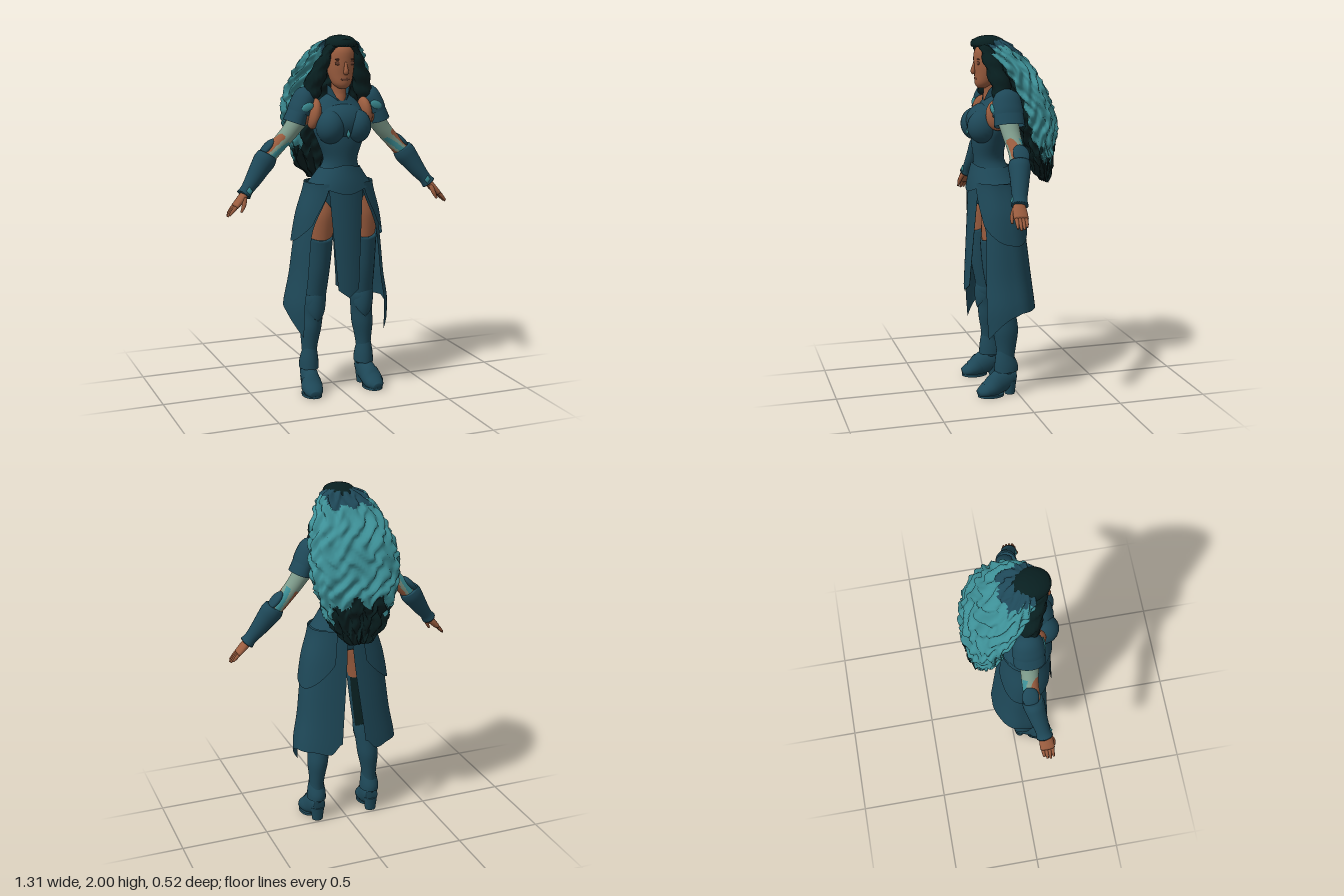
import * as THREE from 'three';
import { mergeVertices } from 'three/addons/utils/BufferGeometryUtils.js';

const V = (x, y, z) => new THREE.Vector3(x, y, z);
const { sin, cos, PI, max, min, abs, pow, sign } = Math;
const lerp = THREE.MathUtils.lerp, smooth = THREE.MathUtils.smoothstep;

// grid surface from fn(u, v); pick(u, v, point) chooses a material slot per cell
function surf(fn, nu, nv, pick) {
  const pos = [], slots = [[], [], []], w = nu + 1;
  for (let j = 0; j <= nv; j++) for (let i = 0; i <= nu; i++) pos.push(...fn(i / nu, j / nv).toArray());
  for (let j = 0; j < nv; j++) for (let i = 0; i < nu; i++) {
    const a = j * w + i, k = pick ? pick((i + .5) / nu, (j + .5) / nv, V().fromArray(pos, a * 3)) : 0;
    slots[k].push(a, a + 1, a + w + 1, a, a + w + 1, a + w);
  }
  let g = new THREE.BufferGeometry();
  g.setAttribute('position', new THREE.Float32BufferAttribute(pos, 3));
  g.setIndex(slots.flat());
  if (pick) {
    let start = 0;
    slots.forEach((s, k) => { if (s.length) g.addGroup(start, s.length, k); start += s.length; });
  }
  g = mergeVertices(g, 1e-5);
  g.computeVertexNormals();
  return g;
}

// smooth interpolation through rows of numbers
function sample(rows, t) {
  const n = rows.length - 1, i = min(n - 1, Math.floor(t * n)), f = t * n - i;
  const r = k => rows[min(n, max(0, k))];
  return rows[0].map((_, c) => {
    const [a, b, d, e] = [r(i - 1)[c], r(i)[c], r(i + 1)[c], r(i + 2)[c]];
    return b + .5 * f * (d - a + f * (2 * a - 5 * b + 4 * d - e + f * (3 * (b - d) + e - a)));
  });
}

// elliptical sweep through rows [x, y, z, sideRadius, depthRadius]
function sweep(rows, nu, nv, { flat, open, up = V(0, 0, 1), mod, pick } = {}) {
  const fn = (u, v) => {
    const j = v * (nv + 2), t = min(1, max(0, (j - 1) / nv)), a = u * 2 * PI;
    const r = sample(rows, t), p0 = sample(rows, max(0, t - .02)), p1 = sample(rows, min(1, t + .02));
    const tan = flat ? V(0, sign(p1[1] - p0[1]), 0) : V(p1[0] - p0[0], p1[1] - p0[1], p1[2] - p0[2]).normalize();
    const b = up.clone().addScaledVector(tan, -up.dot(tan)).normalize(), n = tan.clone().cross(b);
    const k = !open && (j < .5 || j > nv + 1.5) ? 0 : 1;
    const p = V(r[0], r[1], r[2]).addScaledVector(n, k * max(0, r[3]) * sin(a)).addScaledVector(b, k * max(0, r[4]) * cos(a));
    if (mod) mod(p, a, t);
    return p;
  };
  return surf(fn, nu, nv + 2, pick);
}
const loft = (rows, nu, nv, o) => sweep(rows, nu, nv, { flat: true, ...o }); // horizontal rings
const ball = (x, y, z, a, b, c, rz = 0) => new THREE.SphereGeometry(1, 20, 14).scale(a, b, c).rotateZ(rz).translate(x, y, z);
const gem = (x, y, z, a, b, c) => new THREE.SphereGeometry(1, 4, 2).scale(a, b, c).translate(x, y, z);

export function createModel() {
  const root = new THREE.Group();
  const mat = (name, color, side = THREE.FrontSide) => Object.assign(new THREE.MeshStandardMaterial({ color, side }), { name });
  const armour = mat('armour blue', 0x1e4858, THREE.DoubleSide), teal = mat('hair teal', 0x3d8f96);
  const dark = mat('dark hair', 0x081f20, THREE.DoubleSide), skin = mat('skin', 0x9b5d3f);
  const sleeve = mat('sleeve grey green', 0x7d9a8a), shade = mat('facial feature brown', 0x6b4030);
  const add = (name, geo, m) => { const o = new THREE.Mesh(geo, m); o.name = name; root.add(o); };
  const pair = (name, geo, m) => {
    add(name + 'Left', geo, m);
    const g = geo.clone().scale(-1, 1, 1), ix = g.index;
    for (let i = 0; i < ix.count; i += 3) { const t = ix.getX(i); ix.setX(i, ix.getX(i + 1)); ix.setX(i + 1, t); }
    add(name + 'Right', g, m);
  };

  // torso, bust and neck
  add('torso', loft([[0, 1.07, .085, .165, .1], [0, 1.18, .09, .165, .115], [0, 1.26, .1, .12, .1], [0, 1.33, .115, .096, .085],
    [0, 1.42, .115, .125, .095], [0, 1.5, .1, .152, .105], [0, 1.58, .085, .145, .105], [0, 1.64, .07, .11, .08], [0, 1.68, .07, .06, .055]], 36, 36), armour);
  add('chestPlate', ball(0, 1.53, .13, .14, .105, .108), armour);
  pair('breastplate', ball(.076, 1.51, .165, .08, .092, .088), armour);
  add('chestGem', gem(0, 1.475, .236, .013, .026, .008), teal);
  add('neck', loft([[0, 1.6, .085, .045, .06], [0, 1.66, .088, .042, .058], [0, 1.7, .09, .04, .052], [0, 1.78, .1, .045, .05]], 16, 8), skin);
  add('collar', loft([[0, 1.61, .08, .1, .095], [0, 1.66, .08, .06, .066], [0, 1.73, .085, .062, .064]], 28, 8,
    { open: true, mod: (p, a, t) => { p.y -= .1 * t * pow(max(0, cos(a)), 3); } }), armour);

  // head and face
  add('head', loft([[0, 1.715, .15, .02, .025], [0, 1.74, .135, .05, .055], [0, 1.79, .12, .068, .072], [0, 1.85, .11, .076, .086],
    [0, 1.92, .105, .074, .085], [0, 1.965, .1, .04, .05]], 28, 20), skin);
  add('nose', sweep([[0, 1.86, .19, .007, .006], [0, 1.83, .198, .01, .01], [0, 1.805, .202, .016, .013], [0, 1.795, .194, .01, .008]], 10, 8), skin);
  add('lips', ball(0, 1.767, .187, .024, .008, .006), shade);
  pair('eye', ball(.034, 1.852, .181, .024, .011, .007), shade);
  pair('brow', ball(.036, 1.873, .182, .022, .005, .006), shade);

  // big mane: blue crown, teal back and sides, dark underside and ragged ends
  const mane = [[1.2, -.19, -.225, .07], [1.3, -.13, -.232, .16], [1.4, -.09, -.245, .2], [1.5, -.05, -.25, .235], [1.6, -.02, -.23, .25],
    [1.7, .02, -.19, .24], [1.8, .07, -.14, .21], [1.88, .12, -.075, .17], [1.95, .15, 0, .12], [1.985, .13, .05, .05]];
  add('mane', loft(mane.map(([y, f, b, w]) => [0, y, (f + b) / 2, w, (f - b) / 2]), 96, 64, {
    mod: (p, a, t) => {
      const y = p.y, e = smooth(t, 0, .06) * smooth(1 - t, 0, .12);
      const d = .011 * e * (sin(a * 13 + 4 * sin(y * 23)) + .7 * sin(y * 75 + 3 * sin(a * 8)));
      p.x += d * sin(a); p.z += d * cos(a);
      p.y -= (1 - smooth(t, .05, .4)) * (.06 * abs(sin(a * 7)) - .04);
    },
    pick: (u, v, p) => {
      const a = u * 2 * PI;
      if (p.y > 1.9 + .012 * sin(a * 9) && abs(p.x) < .12) return 1;
      return (cos(a) > .72 && p.y < 1.86) || p.y < 1.42 + .035 * sin(a * 9) - .12 * pow(sin(a), 4) ? 2 : 0;
    },
  }), [teal, armour, dark]);
  // pointed tips hanging from the mane
  for (let i = -5; i <= 5; i++) {
    const x = i * .032, z = -.21 + x * x * 2.5, y = 1.24 + abs(i) * .012 + .03 * (i & 1);
    add('hairTip', sweep([[x, y + .2, z - .005, .024, .02], [x * 1.02, y + .1, z, .026, .022], [x, y - .02, z + .005, .002, .002]], 7, 6), dark);
  }
  add('hairCap', loft([[0, 1.88, .09, .085, .07], [0, 1.92, .105, .092, .095], [0, 1.965, .115, .085, .095], [0, 1.99, .115, .06, .06], [0, 2, .11, .02, .02]], 32, 14,
    { mod: (p, a) => { if (p.y < 1.93) p.y += .055 * pow(max(0, cos(a)), 2); } }), dark);
  const wavy = (p, a, t) => { const d = .009 * sin(t * 26 + a * 3); p.x += d * sin(a); p.z += d * cos(a); };
  pair('sideLock', sweep([[.05, 1.955, .15, .018, .03], [.082, 1.91, .135, .022, .04], [.105, 1.84, .115, .036, .045], [.135, 1.76, .09, .048, .05],
    [.155, 1.68, .075, .045, .05], [.165, 1.6, .08, .01, .015]], 16, 30, { mod: wavy }), dark);

  // shoulders
  const dome = [[.15, 1.695, .06, .02, .03], [.18, 1.675, .062, .058, .072], [.21, 1.62, .065, .062, .084], [.225, 1.585, .065, .06, .086]];
  pair('pauldron', sweep(dome, 24, 14, { open: true }), armour);
  pair('lowerPauldron', sweep([[.21, 1.63, .065, .05, .075], [.232, 1.58, .065, .054, .082], [.25, 1.53, .065, .06, .084]], 24, 8, { open: true }), armour);
  pair('pauldronInset', ball(.2, 1.62, .146, .036, .022, .009, -.4), teal);
  pair('shoulder', ball(.15, 1.58, .105, .036, .085, .065, .15), skin);

  // arms with patterned sleeves
  pair('upperArm', sweep([[.16, 1.59, .07, .05, .06], [.22, 1.55, .065, .052, .055], [.28, 1.475, .06, .045, .048], [.34, 1.41, .055, .042, .044],
    [.42, 1.325, .058, .042, .044]], 56, 64, {
    pick: (u, v) => {
      const s = sin(u * 4 * PI + v * 5);
      if (v < .24 + .05 * s) return 1;
      if (v > .6 && s < -.75) return 2;
      return v > .9 - .32 * smooth(s, -.4, .8) ? 1 : 0;
    },
  }), [sleeve, skin, teal]);
  pair('bracer', sweep([[.4, 1.36, .056, .055, .055], [.42, 1.33, .06, .062, .059], [.45, 1.29, .068, .055, .053], [.49, 1.235, .08, .045, .046],
    [.53, 1.185, .092, .035, .04], [.552, 1.157, .098, .04, .046]], 22, 18), armour);
  pair('elbowPlate', ball(.4, 1.4, .045, .02, .06, .045, .75), armour);
  pair('wristInset', gem(.53, 1.18, .133, .02, .025, .01), teal);

  // hands
  pair('palm', sweep([[.54, 1.17, .098, .022, .028], [.57, 1.135, .103, .021, .038], [.605, 1.098, .106, .016, .04]], 14, 8), skin);
  for (let i = 0; i < 4; i++) {
    const z = .081 + i * .017, l = [.82, 1, 1.05, .9][i];
    pair('finger', sweep([[.598, 1.105, z, .011, .011], [.598 + .026 * l, 1.105 - .027 * l, z, .01, .01], [.598 + .049 * l, 1.105 - .054 * l, z + .002, .006, .006]], 8, 6), skin);
  }
  pair('thumb', sweep([[.553, 1.145, .125, .014, .014], [.565, 1.105, .143, .012, .012], [.582, 1.072, .148, .006, .006]], 8, 6), skin);

  // belt with a pointed front
  add('belt', loft([[0, 1.185, .092, .19, .148], [0, 1.225, .098, .155, .134], [0, 1.285, .107, .113, .105]], 48, 8, {
    open: true, mod: (p, a, t) => { p.y += (.02 * t - .04 * (1 - t)) * pow(max(0, cos(a)), 6); },
  }), armour);

  // long split skirt and hip plates share one flared shape
  const flare = (a, y, out) => {
    const k = (1.2 - y) / .7, c = cos(a);
    const rx = sample([[.178], [.225], [.252], [.272], [.302]], min(1, max(0, k)))[0] + out;
    const rz = lerp(.13, c > 0 ? .235 : .165, min(1, k)) + out;
    return V(rx * sin(a), y, lerp(.085, .035, k) + rz * sign(c) * pow(abs(c), .8));
  };
  const panel = (front, back, hem, out) => surf((u, v) => {
    const y = lerp(hem(u), 1.205, v), a = lerp(lerp(front, .55, smooth(y, .9, 1.2)), back(y), u);
    return flare(a, y, out);
  }, 36, 20);
  pair('skirtPanel', panel(.92, y => PI - lerp(.24, .08, smooth(y, .5, 1.15)),
    u => .5 - .155 * pow(max(0, 1 - u / .4), 1.4) - .015 * smooth(u, .7, .85) + .06 * smooth(u, .88, 1), 0), armour);
  pair('hipPlate', panel(.95, () => 2.75, u => lerp(.98, 1.02, u) - .13 * pow(max(0, sin(PI * u)), .8), .014), armour);

  // front tabard with dark lining
  const cloth = (dz, s) => surf((u, v) => {
    const y = lerp(.57, 1.19, v), x = (u * 2 - 1) * s * min(lerp(.058, .1, v), (y - .57) * 1.35);
    return V(x, y, lerp(.258, .226, v) - x * x * 2.5 + dz);
  }, 10, 40);
  add('tabard', cloth(0, 1), armour);
  add('tabardLining', cloth(-.005, -.97), dark);

  // legs, dark on the inner back of the thigh
  pair('thigh', loft([[.09, 1.16, .07, .085, .08], [.115, 1.05, .083, .1, .1], [.125, .97, .09, .093, .1], [.13, .84, .1, .078, .086]], 24, 12), skin);
  pair('thighArmour', loft([[.131, .93, .1, .089, .099], [.133, .82, .1, .081, .092], [.136, .72, .098, .074, .084], [.14, .6, .09, .066, .07],
    [.144, .5, .08, .06, .06]], 24, 18, {
    mod: (p, a, t) => { p.y -= .04 * (1 - t) * max(0, cos(a)); },
    pick: (u, v, p) => p.x < .125 && p.z < .08 ? 1 : 0,
  }), [armour, dark]);
  pair('greave', loft([[.144, .575, .085, .062, .068], [.144, .53, .085, .066, .073], [.15, .45, .07, .06, .07], [.158, .37, .063, .059, .072],
    [.164, .28, .062, .046, .058], [.167, .21, .064, .04, .05], [.17, .12, .06, .042, .05]], 24, 24), armour);
  pair('kneePlate', surf((u, v) => {
    const a = (u - .5) * 2.4, w = 1 - pow(abs(v * 2 - 1), 2.2);
    return V(.144 + .062 * w * sin(a), lerp(.42, .61, v), .085 + (.06 + .016 * w) * cos(a * w));
  }, 12, 12), armour);
  pair('ankleCuff', loft([[.168, .135, .062, .054, .068], [.168, .18, .06, .052, .066], [.167, .235, .062, .043, .053]], 22, 6,
    { open: true, mod: (p, a, t) => { p.y += .03 * t * cos(a); } }), armour);

  // heeled boots
  const ground = p => { p.y = max(.002, p.y); };
  pair('boot', sweep([[.167, .1, .012, .036, .045], [.17, .1, .05, .045, .065], [.175, .075, .105, .05, .068], [.182, .045, .155, .056, .05],
    [.187, .03, .2, .05, .034], [.19, .022, .23, .026, .02]], 20, 20, { up: V(0, 1, 0), mod: ground }), armour);
  pair('toePlate', sweep([[.178, .07, .12, .054, .065], [.183, .05, .15, .06, .055], [.187, .036, .185, .056, .042]], 20, 6,
    { up: V(0, 1, 0), open: true, mod: ground }), armour);
  pair('heel', new THREE.CylinderGeometry(.042, .032, .08, 14).scale(1, 1, .9).translate(.17, .04, .042), armour);
  pair('sole', new THREE.CylinderGeometry(1, 1, .014, 24).scale(.055, 1, .075).translate(.185, .007, .155), armour);
  return root;
}
